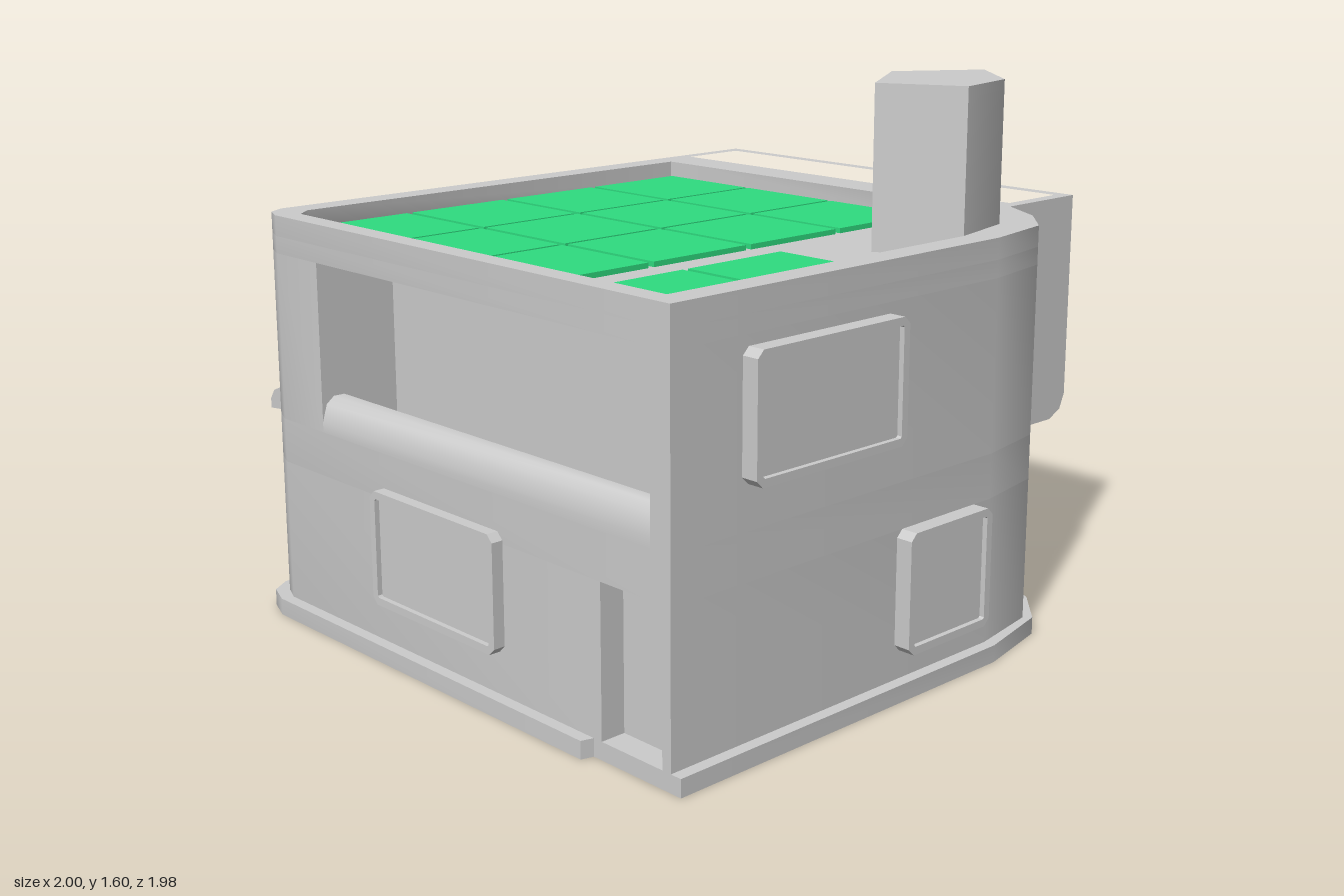
import * as THREE from 'three';
import { toCreasedNormals } from 'three/addons/utils/BufferGeometryUtils.js';

const grey = new THREE.MeshStandardMaterial({ color: 0xcccccc });
const green = new THREE.MeshStandardMaterial({ color: 0x2edc80 });

const toShape = (pts) => new THREE.Shape(pts.map(([a, b]) => new THREE.Vector2(a, b)));

function extrude(pts, depth, hole) {
  const shape = toShape(pts);
  if (hole) shape.holes.push(toShape(hole));
  return new THREE.ExtrudeGeometry(shape, { depth, bevelEnabled: false });
}

function mesh(name, geometry, material = grey, crease = 0.9) {
  const m = new THREE.Mesh(toCreasedNormals(geometry, crease), material);
  m.name = name;
  return m;
}

// Horizontal slab from an [x, z] outline between two heights
function slab(name, outline, y0, y1, hole, crease) {
  const flip = (pts) => pts && pts.map(([x, z]) => [x, -z]);
  const g = extrude(flip(outline), y1 - y0, flip(hole));
  return mesh(name, g.rotateX(-Math.PI / 2).translate(0, y0, 0), grey, crease);
}

// [z, y] profile swept along x
function sweepX(name, profile, x0, x1) {
  const g = extrude(profile.map(([z, y]) => [-z, y]), x1 - x0);
  return mesh(name, g.rotateY(Math.PI / 2).translate(x0, 0, 0));
}

function box(name, x0, x1, y0, y1, z0, z1, material = grey) {
  const g = new THREE.BoxGeometry(x1 - x0, y1 - y0, z1 - z0);
  g.translate((x0 + x1) / 2, (y0 + y1) / 2, (z0 + z1) / 2);
  return mesh(name, g, material);
}

function rect(w, h, c) {
  return [[-w + c, -h], [w - c, -h], [w, -h + c], [w, h - c],
    [w - c, h], [-w + c, h], [-w, h - c], [-w, -h + c]];
}

// Framed window with a slightly sunken pane, facing the given angle
function windowUnit(name, w, h, position, angle, depth = 0.04) {
  const group = new THREE.Group();
  group.name = name;
  const frame = extrude(rect(w / 2, h / 2, 0.02), depth, rect(w / 2 - 0.022, h / 2 - 0.022, 0.005));
  const pane = new THREE.BoxGeometry(w - 0.04, h - 0.04, depth - 0.015);
  pane.translate(0, 0, (depth - 0.015) / 2);
  group.add(mesh('frame', frame, grey, 0.5), mesh('pane', pane));
  group.position.set(...position);
  group.rotation.y = angle;
  return group;
}

// Body outline with optional notches for the door, balcony and side bay
function bodyOutline({ door, balcony, bay }) {
  const notch = (x0, x1, z) => [[x0, 0.955], [x0, z], [x1, z], [x1, 0.955]];
  return [
    [-0.78, -0.68],
    ...(bay ? [[-0.78, -0.15], [-0.68, -0.13], [-0.68, 0.76], [-0.78, 0.8]] : []),
    [-0.78, 0.88], [-0.75, 0.93], [-0.69, 0.955],
    ...(balcony ? notch(-0.49, 0.88, 0.7) : []),
    ...(door ? notch(0.7, 0.92, 0.88) : []),
    [0.95, 0.955], [0.95, -0.25], [0.91, -0.48], [0.8, -0.6], [0.66, -0.68],
  ];
}

export function createModel() {
  const model = new THREE.Group();
  model.name = 'house';

  // Base plate, cut back at the front door
  const base = [
    [-0.8, -0.71], [-0.82, -0.69], [-0.82, 0.9], [-0.78, 0.96], [-0.7, 0.99], [0.66, 0.99], [0.67, 0.955],
    [0.985, 0.955], [0.985, -0.25], [0.93, -0.5], [0.82, -0.62], [0.66, -0.71],
  ];
  model.add(slab('basePlate', base, 0, 0.05));

  // Body, in storeys
  const inner = [
    [-0.7, -0.6], [-0.7, 0.84], [-0.66, 0.89], [0.87, 0.89], [0.87, -0.2], [0.82, -0.42], [0.61, -0.6],
  ];
  model.add(
    slab('lowerWalls', bodyOutline({ door: true, bay: true }), 0.05, 0.47),
    slab('middleWalls', bodyOutline({ bay: true }), 0.47, 0.6),
    slab('upperWalls', bodyOutline({ balcony: true }), 0.6, 1.09),
    slab('roof', bodyOutline({}), 1.09, 1.14),
    slab('roofRim', bodyOutline({}), 1.14, 1.2, inner),
  );

  // Balcony: parapet, sloping ceiling and door
  model.add(
    sweepX('balconyParapet', [[0.955, 0.6], [0.955, 0.63], [0.94, 0.68], [0.915, 0.7], [0.88, 0.7], [0.88, 0.6]], -0.49, 0.88),
    sweepX('balconyCeiling', [[0.955, 1.09], [0.7, 1.09], [0.7, 1.0]], -0.49, 0.88),
    box('balconyDoor', 0.68, 0.87, 0.6, 0.98, 0.69, 0.73),
  );

  // Rear overhang with a trough on top
  model.add(
    sweepX('rearOverhang', [[-0.62, 0.51], [-0.92, 0.51], [-0.97, 0.535], [-0.99, 0.58], [-0.99, 1.1], [-0.62, 1.1]], -0.78, 0.66),
    slab('rearTroughRim', [[-0.78, -0.99], [0.66, -0.99], [0.66, -0.68], [-0.78, -0.68]], 1.1, 1.2,
      [[-0.74, -0.95], [0.62, -0.95], [0.62, -0.73], [-0.74, -0.73]]),
  );

  // Side awning
  const awning = extrude([[-0.77, 0.57], [-0.77, 0.645], [-0.94, 0.622], [-0.98, 0.605], [-1, 0.575], [-1, 0.545]], 1);
  model.add(mesh('awning', awning.translate(0, 0, -0.19)));

  // Windows
  const right = Math.PI / 2;
  model.add(
    windowUnit('frontWindow', 0.54, 0.33, [0.05, 0.335, 0.95], 0),
    windowUnit('backWindow', 0.54, 0.33, [0.05, 0.335, -0.68], Math.PI),
    windowUnit('sideWindowUpper', 0.55, 0.34, [0.95, 0.89, 0.445], right, 0.05),
    windowUnit('sideWindowLower', 0.34, 0.34, [0.95, 0.3, -0.03], right, 0.05),
  );
  for (const [y, z] of [[0.97, -0.47], [0.97, 0.51], [0.3, -0.47]]) {
    model.add(windowUnit('squareWindow', 0.34, 0.34, [-0.78, y, z], -right));
  }

  // Roof access tower with a recessed doorway
  const a = [0.46, -0.37], b = [0.64, -0.09];
  const rest = [[0.87, -0.2], [0.82, -0.42], [0.61, -0.6]];
  const along = (t, d) => [a[0] + (b[0] - a[0]) * t + 0.84 * d, a[1] + (b[1] - a[1]) * t - 0.54 * d];
  const doorway = [along(0.06, 0), along(0.06, 0.12), along(0.92, 0.12), along(0.92, 0)];
  model.add(
    slab('towerWalls', [a, ...doorway, b, ...rest], 1.14, 1.57, undefined, 1.2),
    slab('towerTop', [a, b, ...rest], 1.57, 1.6, undefined, 1.2),
  );

  // Roof panels
  const panel = (x, z) => model.add(box('roofPanel', x, x + 0.348, 1.135, 1.155, z, z + 0.344, green));
  for (let row = 0; row < 4; row++) {
    const z = -0.585 + row * 0.364;
    for (let col = 0; col < 3; col++) panel(-0.68 + col * 0.361, z);
    if (row > 1) panel(0.52, z);
  }
  return model;
}
